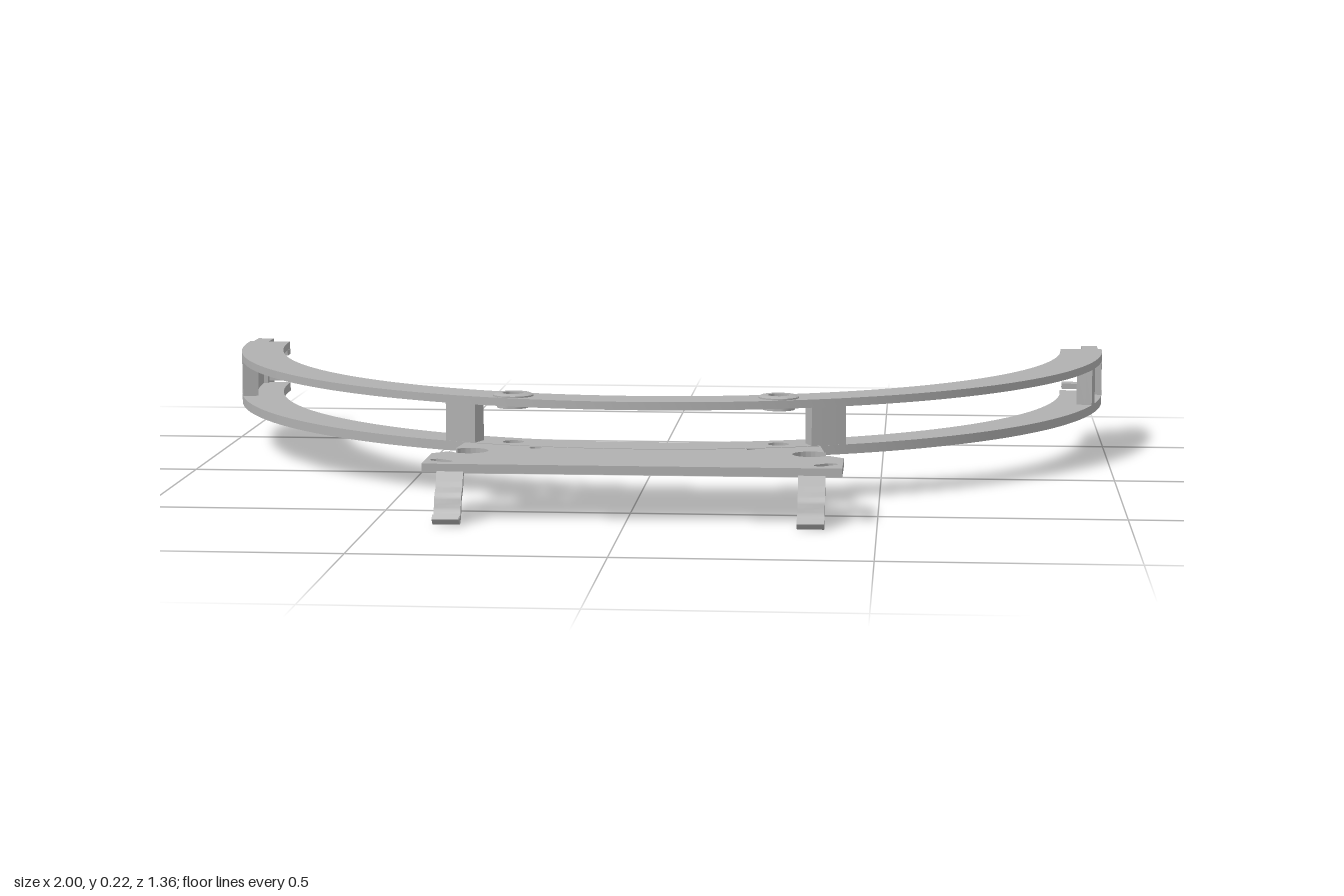
import * as THREE from 'three';
import { toCreasedNormals } from 'three/addons/utils/BufferGeometryUtils.js';

const CZ = -0.62;            // arc centre (x = 0, z = CZ)
const R_OUT = 1, R_IN = 0.905;
const LOW = [0.095, 0.115], HIGH = [0.195, 0.212];
const ROLLERS = [[-0.262, 0.3], [0.29, 0.29]];

export function createModel() {
  const group = new THREE.Group();
  const grey = new THREE.MeshStandardMaterial({ color: 0xb0b0b0 });
  grey.name = 'grey metal';

  const add = (name, geometry) => {
    const mesh = new THREE.Mesh(geometry, grey);
    mesh.name = name;
    group.add(mesh);
    return mesh;
  };

  // Extrudes a plan shape (x, -z) between two heights
  const slab = (name, shape, [y0, y1]) => {
    const g = new THREE.ExtrudeGeometry(shape, { depth: y1 - y0, bevelEnabled: false, curveSegments: 64 });
    g.rotateX(-Math.PI / 2).translate(0, y0, 0);
    return add(name, toCreasedNormals(g, 0.5));
  };

  // Ring sector; angles run from +x (0) through the front to -x (PI)
  const sector = (r0, r1, a0, a1) => {
    const s = new THREE.Shape();
    s.absarc(0, -CZ, r1, -a0, -a1, true);
    s.absarc(0, -CZ, r0, -a1, -a0, false);
    s.closePath();
    return s;
  };
  const hole = (x, z, r) => new THREE.Path().absarc(x, -z, r, 0, Math.PI * 2, true);

  const box = (name, x0, x1, y0, y1, z0, z1) =>
    add(name, new THREE.BoxGeometry(Math.abs(x1 - x0), y1 - y0, z1 - z0))
      .position.set((x0 + x1) / 2, (y0 + y1) / 2, (z0 + z1) / 2);

  // Upper and lower arc rails, with roller holes
  for (const [name, span] of [['lowerRail', LOW], ['upperRail', HIGH]]) {
    const s = sector(R_IN, R_OUT, 0, Math.PI);
    ROLLERS.forEach(([x, z]) => s.holes.push(hole(x, z, 0.024)));
    slab(name, s, span);
  }

  // Flanged bushings in both rails
  const bushing = [[0.022, -0.015], [0.034, -0.015], [0.034, 0], [0.042, 0.004], [0.042, 0.012],
    [0.036, 0.015], [0.022, 0.015], [0.022, -0.015]].map(p => new THREE.Vector2(...p));
  for (const [x, z] of ROLLERS) {
    for (const [y, flip] of [[0.203, 0], [0.1, Math.PI]]) {
      const m = add('bushing', toCreasedNormals(new THREE.LatheGeometry(bushing, 32), 0.5));
      m.position.set(x, y, z);
      m.rotation.x = flip;
    }
  }

  const gap = [LOW[1], HIGH[0]];
  // Spacer posts between the rails at the outer edge
  for (const [x0, x1] of [[-0.405, -0.34], [0.36, 0.43]])
    slab('spacerPost', sector(0.96, 0.999, Math.acos(x1), Math.acos(x0)), gap);

  // End walls with outer pockets, end tabs and contact teeth
  for (const side of [1, -1]) {
    const wall = (name, r0, r1, a, b) => slab(name,
      side > 0 ? sector(r0, r1, a, b) : sector(r0, r1, Math.PI - b, Math.PI - a), gap);
    wall('endWall', 0.965, 0.985, 0, 0.258);
    wall('pocketFrame', 0.985, 1, 0, 0.075);
    wall('pocketFrame', 0.985, 1, 0.225, 0.258);
    box('endTab', side * 0.955, side * 0.992, LOW[0], HIGH[1], -0.68, -0.6);
    for (const y of [0.125, 0.155, 0.185])
      box('contactTooth', side * 0.91, side * 0.957, y - 0.006, y + 0.006, -0.652, -0.615);
  }

  // Mounting plate: rear edge follows the rail, round bites on both sides
  const plate = new THREE.Shape();
  const pt = (x, z) => plate.lineTo(x, -z);
  plate.moveTo(-0.41, -0.607);
  pt(0.43, 0.607);
  pt(0.43, 0.468);
  pt(0.396, 0.437);
  plate.absarc(0.362, -0.42, 0.038, -0.46, 0.66, true);
  pt(0.388, 0.392);
  pt(0.378, 0.306);
  plate.absarc(0, -CZ, 1, -Math.acos(0.378), -Math.acos(-0.362), true);
  pt(-0.37, 0.396);
  plate.absarc(-0.337, -0.425, 0.038, Math.PI - 0.7, Math.PI + 0.46, true);
  pt(-0.377, 0.437);
  pt(-0.41, 0.468);
  plate.closePath();
  plate.holes.push(hole(-0.207, 0.375, 0.013), hole(0.237, 0.364, 0.009));
  // Slanted slots at the front corners
  for (const [x, z, dir] of [[-0.376, 0.563, 1], [0.396, 0.559, -1]]) {
    const slot = new THREE.Path();
    const t = dir > 0 ? -0.7 : 0.7, r = 0.013, h = 0.014;
    const dx = Math.cos(t) * h, dy = Math.sin(t) * h;
    slot.absarc(x + dx, -z + dy, r, t - Math.PI / 2, t + Math.PI / 2, false);
    slot.absarc(x - dx, -z - dy, r, t + Math.PI / 2, t + Math.PI * 1.5, false);
    slot.closePath();
    plate.holes.push(slot);
  }
  slab('mountingPlate', plate, [LOW[0] + 0.001, LOW[1] - 0.001]);

  // Curved spring hooks: a band of even thickness along a (z, y) curve
  const path = new THREE.SplineCurve([[0.6, 0.1], [0.609, 0.08], [0.617, 0.064], [0.634, 0.05], [0.641, 0.03],
    [0.651, 0.012], [0.664, 0.007], [0.675, 0.018]].map(p => new THREE.Vector2(...p)));
  const near = [], far = [];
  for (let i = 0; i <= 28; i++) {
    const p = path.getPoint(i / 28), t = path.getTangent(i / 28);
    const n = new THREE.Vector2(-t.y, t.x).multiplyScalar(0.006);
    near.push(p.clone().add(n));
    far.unshift(p.clone().sub(n));
  }
  for (const [x0, x1] of [[-0.38, -0.326], [0.343, 0.397]]) {
    const g = new THREE.ExtrudeGeometry(new THREE.Shape([...near, ...far]), { depth: x1 - x0, bevelEnabled: false });
    g.rotateY(-Math.PI / 2).translate(x1, 0, 0);
    add('springHook', toCreasedNormals(g, 0.6));
  }

  return group;
}
